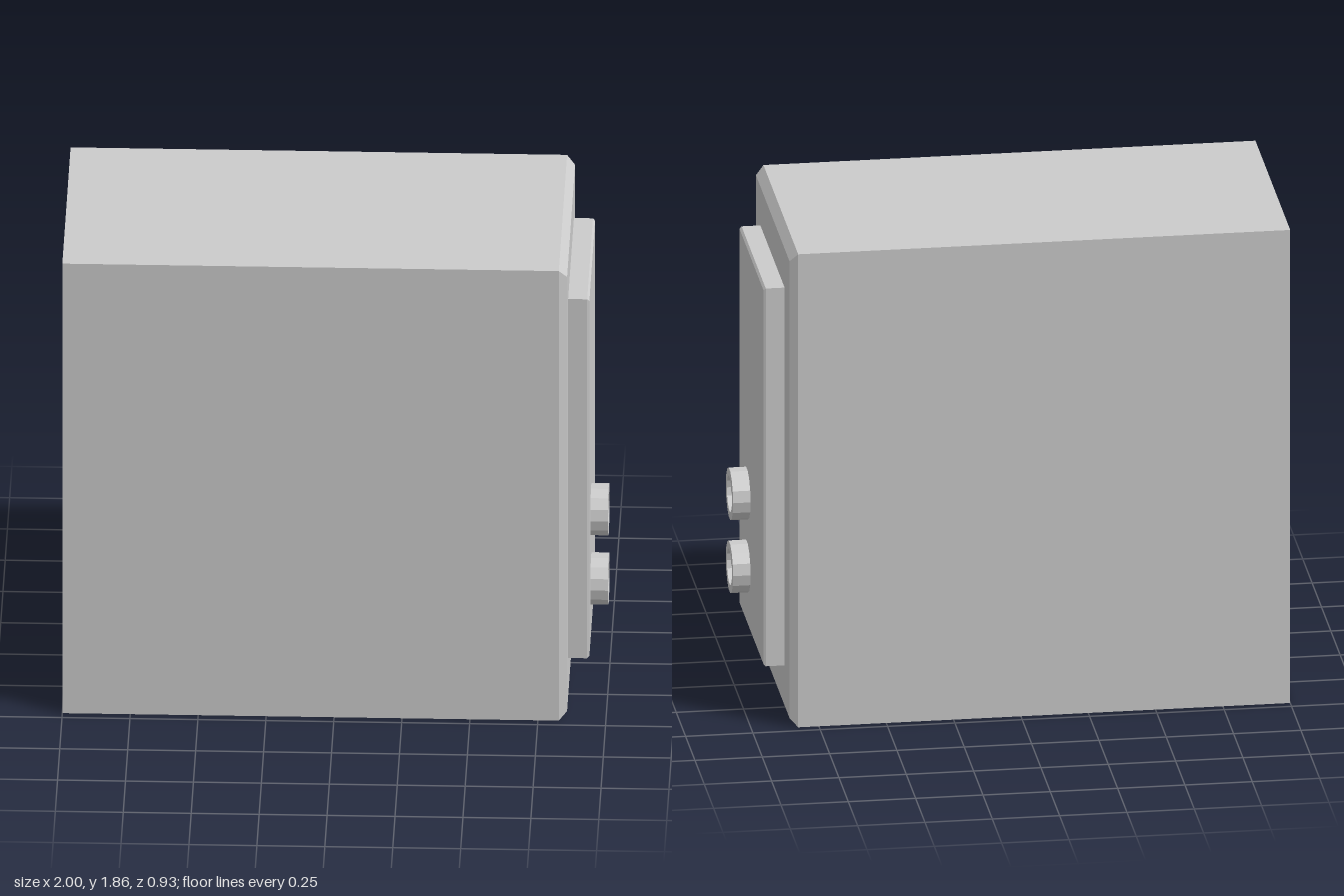
import * as THREE from 'three';

const material = new THREE.MeshStandardMaterial({ color: 0xcccccc, flatShading: true });

// Box from x0 to x1 whose +x face is pulled in by a bevel
function bevelledBox(name, x0, x1, y0, y1, z0, z1, bevel) {
  const geo = new THREE.BoxGeometry(x1 - x0, y1 - y0, z1 - z0, 2, 1, 1);
  geo.translate((x0 + x1) / 2, (y0 + y1) / 2, (z0 + z1) / 2);
  const p = geo.attributes.position;
  const xm = (x0 + x1) / 2;
  for (let i = 0; i < p.count; i++) {
    const x = p.getX(i);
    if (Math.abs(x - xm) < 1e-4) {
      p.setX(i, x1 - bevel.x);
    } else if (x > xm) {
      p.setY(i, p.getY(i) > (y0 + y1) / 2 ? y1 - bevel.y : y0 + bevel.y);
      p.setZ(i, p.getZ(i) > (z0 + z1) / 2 ? z1 - bevel.z : z0 + bevel.z);
    }
  }
  geo.computeVertexNormals();
  const mesh = new THREE.Mesh(geo, material);
  mesh.name = name;
  return mesh;
}

// Round lock with a recessed face and a raised turning bar
function makeLock(name, y, z) {
  const lock = new THREE.Group();
  lock.name = name;
  const profile = [[0.098, 0], [0.098, 0.065], [0.068, 0.065], [0.068, 0.02], [0, 0.02]]
    .map(([r, h]) => new THREE.Vector2(r, h));
  const ring = new THREE.Mesh(new THREE.LatheGeometry(profile, 14), material);
  ring.name = 'lockRing';
  ring.rotation.z = -Math.PI / 2;
  const bar = new THREE.Mesh(new THREE.BoxGeometry(0.03, 0.026, 0.128), material);
  bar.name = 'lockBar';
  bar.position.x = 0.035;
  lock.add(ring, bar);
  lock.position.set(0.935, y, z);
  return lock;
}

export function createModel() {
  const model = new THREE.Group();
  model.name = 'cabinet';
  model.add(
    bevelledBox('cabinetBody', -1, 0.857, 0, 1.862, -0.465, 0.465, { x: 0.03, y: 0.032, z: 0.016 }),
    bevelledBox('door', 0.85, 0.935, 0.19, 1.677, -0.318, 0.33, { x: 0.008, y: 0.008, z: 0.003 }),
    makeLock('upperLock', 0.704, 0.128),
    makeLock('lowerLock', 0.417, 0.128)
  );
  return model;
}
